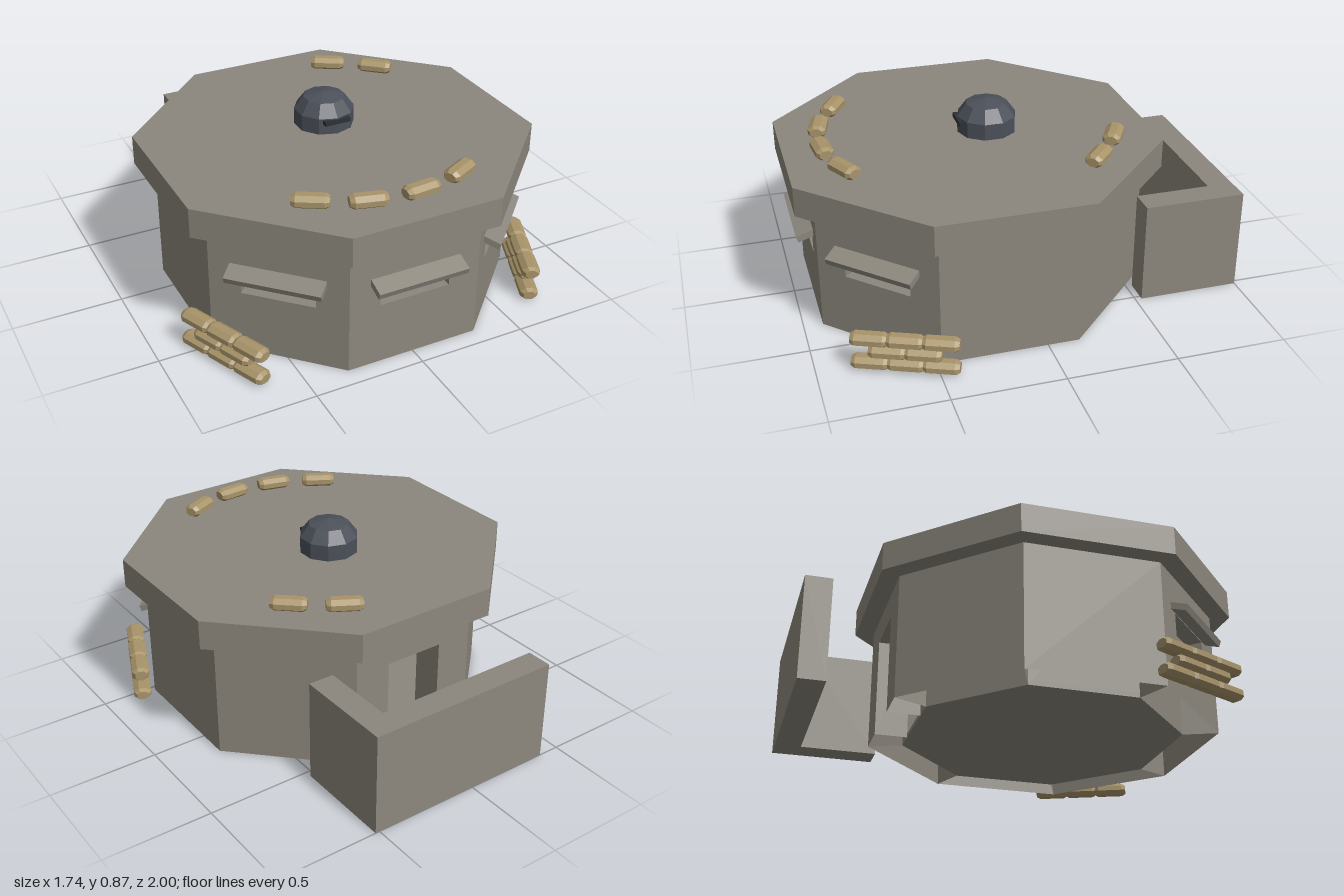
import * as THREE from 'three';

const T = Math.tan(Math.PI / 8), C = Math.cos(Math.PI / 8);
const CZ = 0.167;               // centre of the octagon
const OUT = 0.747, IN = 0.597;  // wall apothems

function material(name, color, side = THREE.FrontSide) {
  const m = new THREE.MeshStandardMaterial({ color, flatShading: true, side });
  m.name = name;
  return m;
}

// One mitred wall side, open at its base, with an optional firing slit or doorway
function wallPanel(kind) {
  const w = OUT * T, h = 0.58, d = 0.14, dh = 0.46;
  const pts = [[-w, 0]];
  if (kind === 'door') pts.push([-d, 0], [-d, dh], [d, dh], [d, 0]);
  pts.push([w, 0], [w, h], [-w, h]);
  const shape = new THREE.Shape(pts.map(p => new THREE.Vector2(...p)));
  if (kind === 'slit') {
    const s = 0.165, a = 0.29, b = 0.395;
    shape.holes.push(new THREE.Path([[-s, a], [-s, b], [s, b], [s, a]].map(p => new THREE.Vector2(...p))));
  }
  const src = new THREE.ExtrudeGeometry(shape, { depth: OUT - IN, bevelEnabled: false });
  src.translate(0, 0, IN);
  const p = src.attributes.position, kept = [];
  for (let i = 0; i < p.count; i += 3) {
    if ([0, 1, 2].every(k => p.getY(i + k) < 1e-5)) continue;
    for (let k = i; k < i + 3; k++) {
      const x = p.getX(k), z = p.getZ(k);
      kept.push(Math.abs(x) > 0.28 ? Math.sign(x) * z * T : x, p.getY(k), z);
    }
  }
  const g = new THREE.BufferGeometry();
  g.setAttribute('position', new THREE.Float32BufferAttribute(kept, 3));
  g.computeVertexNormals();
  return g;
}

function octagon(apothem, height) {
  return new THREE.CylinderGeometry(apothem / C, apothem / C, height, 8, 1, false, Math.PI / 8);
}

// Eight-sided bag with tapered ends, lying along x
function bagGeometry() {
  const r = 0.5 / C;
  const pts = [[0, -0.5], [r * 0.68, -0.5], [r, -0.38], [r, 0.38], [r * 0.68, 0.5], [0, 0.5]];
  const g = new THREE.LatheGeometry(pts.map(p => new THREE.Vector2(...p)), 8, Math.PI / 8);
  g.rotateZ(-Math.PI / 2);
  return g.scale(0.16, 0.058, 0.08);
}

export function createModel() {
  const root = new THREE.Group();
  root.name = 'bunker';
  const concrete = material('concrete', 0x8c877d, THREE.DoubleSide);
  const steel = material('steel', 0x4b5059);
  const dark = material('darkSteel', 0x2c2f35);
  const burlap = material('burlap', 0xa8946a);

  function add(name, geometry, mat, x = 0, y = 0, z = 0, parent = root) {
    const m = new THREE.Mesh(geometry, mat);
    m.name = name;
    m.position.set(x, y, z);
    parent.add(m);
    return m;
  }

  // Walls, with slits and hoods on the three front sides and a door at the back
  for (let i = 0; i < 8; i++) {
    const side = new THREE.Group();
    const slit = i === 0 || i === 1 || i === 7;
    side.name = 'wallSide' + i;
    side.position.z = CZ;
    side.rotation.y = i * Math.PI / 4;
    root.add(side);
    add('wall', wallPanel(slit ? 'slit' : i === 4 ? 'door' : 'plain'), concrete, 0, 0, 0, side);
    if (slit) {
      const hood = add('slitHood', new THREE.BoxGeometry(0.425, 0.03, 0.12), concrete, 0, 0.41, 0.929 - CZ, side);
      hood.rotation.x = 0.35;
    }
  }

  // Floor and roof slabs
  add('floor', octagon(IN, 0.02), concrete, 0, 0.01, CZ);
  add('roof', octagon(0.832, 0.135), concrete, 0, 0.6475, CZ);

  // L-shaped blast wall guarding the door
  const plan = [[-0.4, 1], [-0.4, 0.88], [0.4, 0.88], [0.4, 0.53], [0.52, 0.53], [0.52, 1]];
  const blast = new THREE.ExtrudeGeometry(
    new THREE.Shape(plan.map(p => new THREE.Vector2(...p))), { depth: 0.475, bevelEnabled: false });
  blast.rotateX(-Math.PI / 2);
  add('blastWall', blast, concrete);

  // Observation cupola with its viewing slot
  const dome = [[0.137, 0.71], [0.137, 0.79], [0.095, 0.847], [0, 0.87]].map(p => new THREE.Vector2(...p));
  add('cupola', new THREE.LatheGeometry(dome, 10), steel, 0, 0, 0.065);
  add('cupolaSlot', new THREE.BoxGeometry(0.124, 0.02, 0.04), dark, 0, 0.775, 0.188);

  // Sandbags on the roof: x, z, heading in degrees
  const bag = bagGeometry();
  const roofBags = [[-0.385, 0.71, -30], [-0.175, 0.81, -15], [0.058, 0.83, 5],
    [0.28, 0.77, 27], [0.28, -0.45, -30], [0.47, -0.31, -42]];
  for (const [x, z, deg] of roofBags) {
    add('roofSandbag', bag, burlap, x, 0.743, z).rotation.y = THREE.MathUtils.degToRad(deg);
  }

  // Stacked sandbags beside the front corners
  for (const s of [-1, 1]) {
    const pile = new THREE.Group();
    pile.name = s > 0 ? 'leftSandbagPile' : 'rightSandbagPile';
    pile.position.set(s * 0.748, 0, 0.63);
    pile.rotation.y = s * THREE.MathUtils.degToRad(67);
    root.add(pile);
    [3, 2, 3].forEach((n, row) => {
      for (let k = 0; k < n; k++) {
        add('sandbag', bag, burlap, (k - (n - 1) / 2) * 0.152, 0.031 + row * 0.057, 0, pile);
      }
    });
  }
  return root;
}
